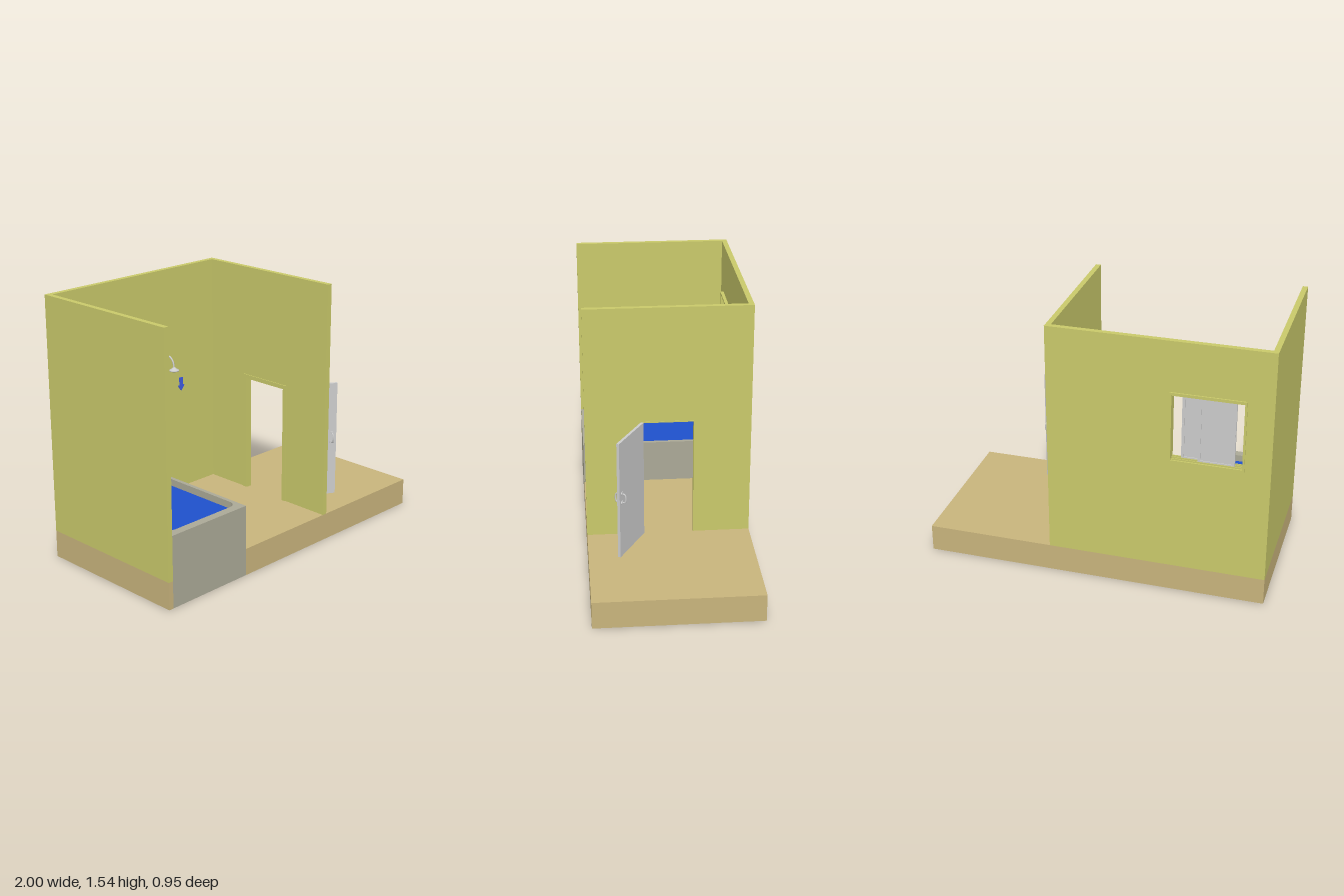
import * as THREE from 'three';

const mat = (color, side = THREE.FrontSide) => new THREE.MeshStandardMaterial({ color, side });
const GREY = mat(0xcccccc), WALL = mat(0xc9c96a), FLOOR = mat(0xc8b47c), TUB = mat(0xaba997);
const WATER = mat(0x1f50cb), ARROW = mat(0x3f5be0, THREE.DoubleSide);

function add(parent, name, geometry, material) {
  const mesh = new THREE.Mesh(geometry, material);
  mesh.name = name;
  parent.add(mesh);
  return mesh;
}

// Box given by its two extreme corners
function box(parent, name, [x0, y0, z0], [x1, y1, z1], material) {
  const g = new THREE.BoxGeometry(x1 - x0, y1 - y0, z1 - z0);
  g.translate((x0 + x1) / 2, (y0 + y1) / 2, (z0 + z1) / 2);
  return add(parent, name, g, material);
}

const poly = (pts) => new THREE.Shape(pts.map(([a, b]) => new THREE.Vector2(a, b)));
const rect = (a0, b0, a1, b1) => poly([[a0, b0], [a1, b0], [a1, b1], [a0, b1]]);

function roundRect(a0, b0, a1, b1, r) {
  const s = new THREE.Shape();
  s.absarc(a1 - r, b0 + r, r, -Math.PI / 2, 0);
  s.absarc(a1 - r, b1 - r, r, 0, Math.PI / 2);
  s.absarc(a0 + r, b1 - r, r, Math.PI / 2, Math.PI);
  s.absarc(a0 + r, b0 + r, r, Math.PI, Math.PI * 1.5);
  s.closePath();
  return s;
}

const extrude = (shape, depth) =>
  new THREE.ExtrudeGeometry(shape, { depth, bevelEnabled: false, curveSegments: 10 });
// Shape in (x, y), thick along z
const alongZ = (shape, z0, z1) => extrude(shape, z1 - z0).translate(0, 0, z0);
// Shape in (z, y), thick along x
const alongX = (shape, x0, x1) => extrude(shape, x1 - x0).rotateY(-Math.PI / 2).translate(x1, 0, 0);
// Shape in (x, -z), thick along y
const alongY = (shape, y0, y1) => extrude(shape, y1 - y0).rotateX(-Math.PI / 2).translate(0, y0, 0);

function ring(x0, y0, x1, y1, w) {
  const s = rect(x0, y0, x1, y1);
  s.holes.push(rect(x0 + w, y0 + w, x1 - w, y1 - w));
  return s;
}

const FLOOR_Y = 0.16, TOP_Y = 1.545, BACK = -0.47, FRONT = 0.475;

function buildWalls(root) {
  const back = rect(-1, FLOOR_Y, 0.26, TOP_Y);
  back.holes.push(rect(-0.85, 0.835, -0.44, 1.245));
  add(root, 'backWall', alongZ(back, BACK, -0.44), WALL);
  box(root, 'sideWall', [-1, FLOOR_Y, -0.44], [-0.97, TOP_Y, FRONT], WALL);
  // Doorway wall
  const doorWall = poly([[-0.44, FLOOR_Y], [-0.15, FLOOR_Y], [-0.15, 0.87], [0.155, 0.87],
    [0.155, FLOOR_Y], [FRONT, FLOOR_Y], [FRONT, TOP_Y], [-0.44, TOP_Y]]);
  add(root, 'doorwayWall', alongX(doorWall, 0.23, 0.26), WALL);
}

// Arch-like outline round the doorway, w wide
const doorTrim = (z0, z1, top, w) => poly([[z0, FLOOR_Y], [z0 + w, FLOOR_Y], [z0 + w, top - w],
  [z1 - w, top - w], [z1 - w, FLOOR_Y], [z1, FLOOR_Y], [z1, top], [z0, top]]);

function buildHandle(parent, side) {
  const g = new THREE.Group();
  g.name = 'doorHandle';
  const path = new THREE.CatmullRomCurve3([[-0.028, 0], [-0.024, 0.018], [0, 0.024], [0.024, 0.018], [0.028, 0]]
    .map(([y, z]) => new THREE.Vector3(0, y, z)));
  add(g, 'grip', new THREE.TubeGeometry(path, 16, 0.005, 8), GREY);
  for (const y of [-0.028, 0.028]) {
    add(g, 'handleMount', new THREE.CylinderGeometry(0.013, 0.013, 0.006, 16).rotateX(Math.PI / 2), GREY)
      .position.set(0, y, 0.002);
  }
  g.position.set(0.285, 0.525, side * 0.008);
  if (side < 0) g.rotation.y = Math.PI;
  parent.add(g);
}

function buildDoor(root) {
  const frame = new THREE.Group();
  frame.name = 'doorFrame';
  root.add(frame);
  add(frame, 'doorLining', alongX(doorTrim(-0.15, 0.155, 0.87, 0.008), 0.228, 0.262), WALL);
  add(frame, 'doorCasing', alongX(doorTrim(-0.172, 0.178, 0.888, 0.024), 0.225, 0.231), WALL);
  // Leaf swung open about its hinge
  const door = new THREE.Group();
  door.name = 'door';
  box(door, 'doorLeaf', [0, 0.163, -0.008], [0.313, 0.867, 0.008], GREY);
  buildHandle(door, 1);
  buildHandle(door, -1);
  door.position.set(0.262, 0, 0.15);
  door.rotation.y = -0.507;
  root.add(door);
}

function buildWindow(root) {
  const win = new THREE.Group();
  win.name = 'window';
  root.add(win);
  add(win, 'windowFrame', alongZ(ring(-0.855, 0.83, -0.435, 1.25, 0.012), -0.478, -0.42), WALL);
  // Sliding tracks along sill and head
  for (const y of [0.841, 1.229]) {
    for (const z of [-0.468, -0.449, -0.43]) {
      box(win, 'windowTrack', [-0.844, y, z - 0.002], [-0.446, y + 0.01, z + 0.002], WALL);
    }
  }
  // Two overlapping sashes, one in each track
  for (const [x, z, dir] of [[-0.80, -0.459, -1], [-0.705, -0.44, 1]]) {
    const sash = new THREE.Group();
    sash.name = 'windowSash';
    add(sash, 'sashFrame', alongZ(ring(x, 0.843, x + 0.205, 1.238, 0.015), z - 0.007, z + 0.007), GREY);
    box(sash, 'windowPane', [x + 0.014, 0.857, z - 0.002], [x + 0.191, 1.224, z + 0.002], GREY);
    const hx = dir > 0 ? x + 0.198 : x + 0.007;
    box(sash, 'sashPull', [hx - 0.003, 1.02, z - 0.01], [hx + 0.003, 1.06, z + 0.01], GREY);
    win.add(sash);
  }
}

function buildTub(root) {
  const tub = new THREE.Group();
  tub.name = 'bathTub';
  root.add(tub);
  const rim = rect(-0.97, -FRONT, -0.42, 0.44);
  rim.holes.push(roundRect(-0.947, -0.425, -0.443, 0.392, 0.05));
  add(tub, 'tubSides', alongY(rim, 0.3, 0.42), TUB);
  box(tub, 'tubBody', [-0.97, 0, -0.44], [-0.42, 0.3, FRONT], TUB);
  add(tub, 'water', alongY(roundRect(-0.946, -0.424, -0.444, 0.391, 0.05), 0.3, 0.38), WATER);
}

function buildShower(root) {
  const shower = new THREE.Group();
  shower.name = 'shower';
  const arm = new THREE.CatmullRomCurve3([[1.025, -0.06], [1.018, -0.03], [0.995, -0.008], [0.955, 0]]
    .map(([y, z]) => new THREE.Vector3(0, y, z)));
  add(shower, 'showerArm', new THREE.TubeGeometry(arm, 16, 0.005, 10), GREY);
  const head = [[0, 0.964], [0.007, 0.964], [0.012, 0.957], [0.03, 0.947], [0.03, 0.942], [0, 0.942]]
    .reverse().map(([r, y]) => new THREE.Vector2(r, y));
  add(shower, 'showerHead', new THREE.LatheGeometry(head, 24), GREY);
  shower.position.set(-0.145, 0, -0.383);
  root.add(shower);
  // Flat arrow showing the fall of the water
  const arrow = poly([[-0.013, 0.915], [-0.013, 0.868], [-0.026, 0.868], [0, 0.832],
    [0.026, 0.868], [0.013, 0.868], [0.013, 0.915]]);
  add(root, 'flowArrow', alongZ(arrow, -0.326, -0.322), ARROW).position.x = -0.145;
}

export function createModel() {
  const root = new THREE.Group();
  root.name = 'bathroom';
  // Floor slab, notched where the tub sits
  const floor = poly([[-1, -FRONT], [-0.97, -FRONT], [-0.97, 0.44], [-0.42, 0.44],
    [-0.42, -FRONT], [1, -FRONT], [1, -BACK], [-1, -BACK]]);
  add(root, 'floorSlab', alongY(floor, 0, FLOOR_Y), FLOOR);
  buildWalls(root);
  buildDoor(root);
  buildWindow(root);
  buildTub(root);
  buildShower(root);
  return root;
}
